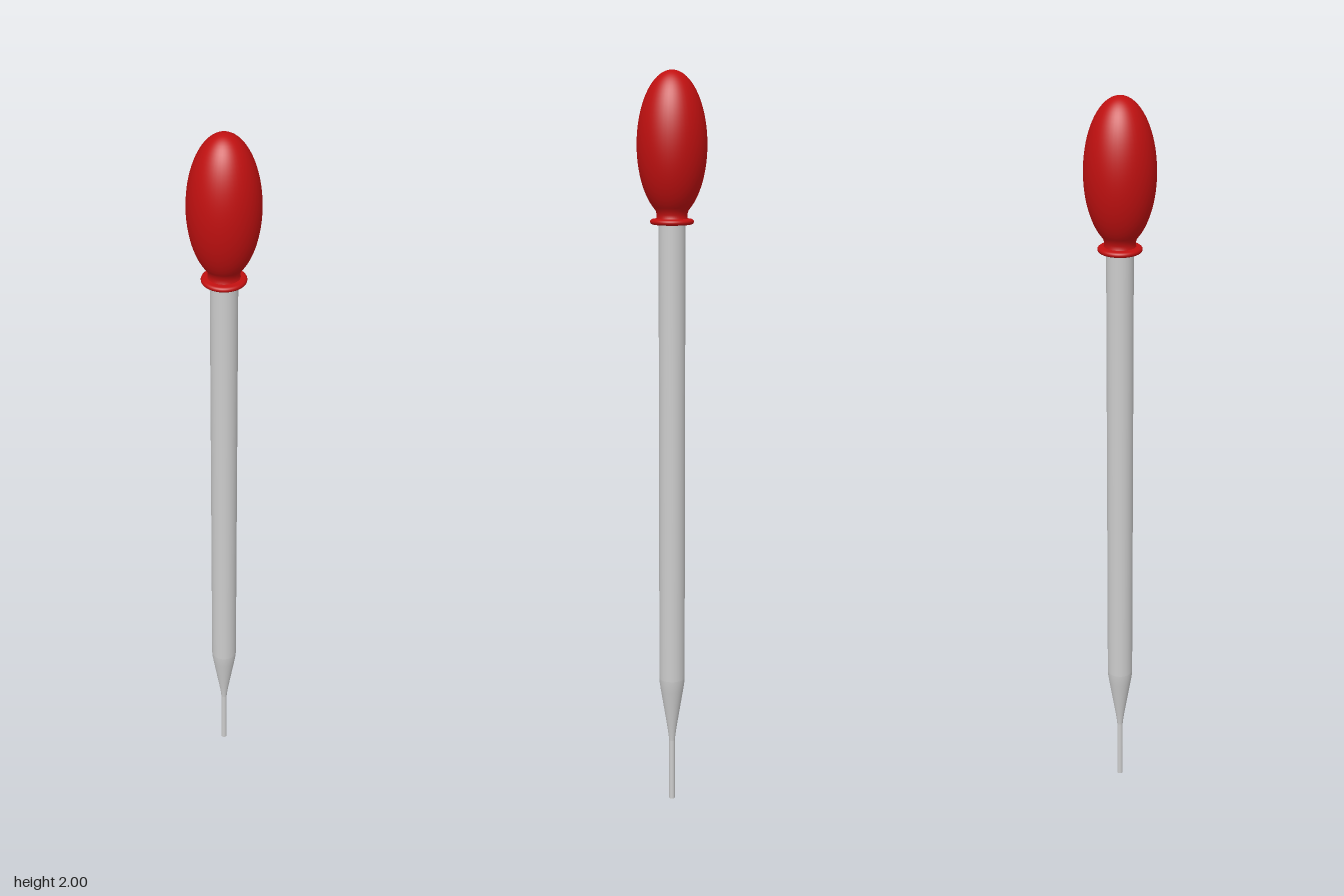
import * as THREE from 'three';

const SEGMENTS = 48;

export function createModel() {
  const group = new THREE.Group();
  const glass = new THREE.MeshStandardMaterial({ color: 0xcccccc, side: THREE.DoubleSide });
  const rubber = new THREE.MeshStandardMaterial({ color: 0xc01010, side: THREE.DoubleSide });

  const add = (name, geometry, material, y = 0) => {
    const mesh = new THREE.Mesh(geometry, material);
    mesh.name = name;
    mesh.position.y = y;
    group.add(mesh);
  };
  const lathe = (points) =>
    new THREE.LatheGeometry(points.map(([r, y]) => new THREE.Vector2(r, y)), SEGMENTS);
  // Cylinder or cone section spanning y0 to y1
  const section = (name, r0, r1, y0, y1, open) =>
    add(name, new THREE.CylinderGeometry(r1, r0, y1 - y0, SEGMENTS, 1, open), glass, (y0 + y1) / 2);

  // Glass tube: thin tip, tapered shoulder, long straight barrel
  section('tip', 0.008, 0.008, 0, 0.18, false);
  add('shoulder', lathe([
    [0.008, 0.175], [0.0095, 0.19], [0.013, 0.215], [0.022, 0.27],
    [0.031, 0.325], [0.034, 0.345], [0.035, 0.36],
  ]), glass);
  section('barrel', 0.035, 0.035, 0.36, 1.63, true);

  // Rubber bulb: ellipsoid flowing into a short flared neck
  const bulb = [[0.046, 1.615], [0.04, 1.627], [0.04, 1.636]];
  const start = -Math.acos(0.47);
  for (let i = 0; i <= 32; i++) {
    const a = start + (Math.PI / 2 - start) * (i / 32);
    bulb.push([Math.max(0, 0.091 * Math.cos(a)), 1.812 + 0.188 * Math.sin(a)]);
  }
  add('bulb', lathe(bulb), rubber);

  // Rounded rim around the mouth of the bulb
  const rim = [[0.034, 1.61]];
  for (let i = 0; i <= 10; i++) {
    const a = -Math.PI / 2 + Math.PI * (i / 10);
    rim.push([0.049 + 0.008 * Math.cos(a), 1.617 + 0.007 * Math.sin(a)]);
  }
  rim.push([0.036, 1.626]);
  add('bulbRim', lathe(rim), rubber);

  return group;
}
